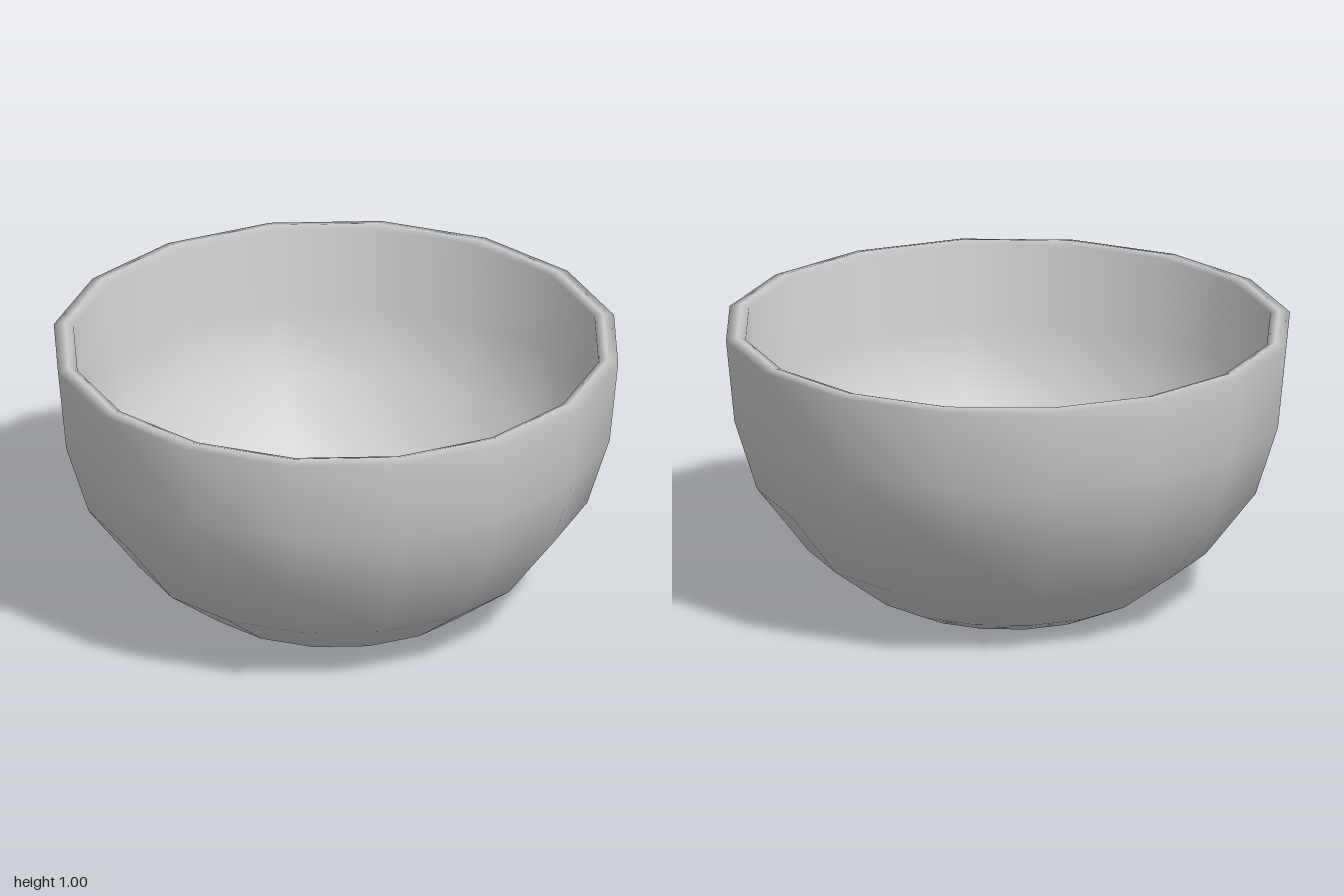
import * as THREE from 'three';

export function createModel() {
  const group = new THREE.Group();
  group.name = 'bowl';

  // Closed wall profile: underside, outer wall, rim, inner wall, inner floor
  const profile = [
    [0, 0], [0.39, 0], [0.5, 0.05], [0.71, 0.205], [0.89, 0.44], [0.97, 0.69], [1, 0.99],
    [0.96, 1], [0.93, 0.99],
    [0.9, 0.7], [0.825, 0.475], [0.66, 0.265], [0.465, 0.125], [0.36, 0.08], [0, 0.08],
  ].map(([r, y]) => new THREE.Vector2(r, y));

  // Sixteen-sided smooth shell
  const shell = new THREE.Mesh(
    new THREE.LatheGeometry(profile, 16),
    new THREE.MeshStandardMaterial({ color: 0xcccccc }),
  );
  shell.name = 'bowlShell';
  group.add(shell);

  return group;
}
